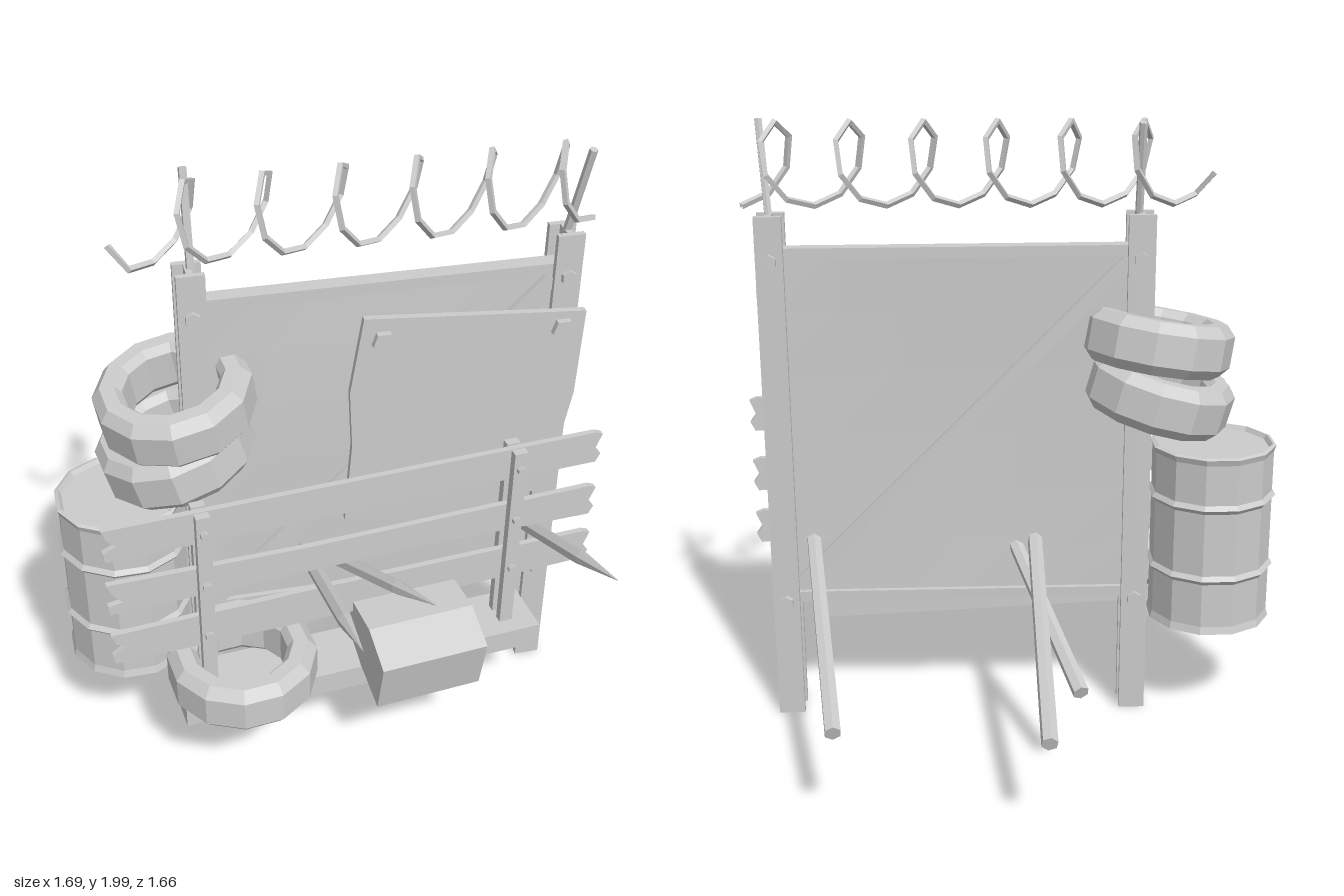
import * as THREE from 'three';

const mat = new THREE.MeshStandardMaterial({ color: 0xcccccc, flatShading: true, side: THREE.DoubleSide });

function add(parent, name, geo, x = 0, y = 0, z = 0, rx = 0, ry = 0, rz = 0) {
  const m = new THREE.Mesh(geo, mat);
  m.name = name;
  m.position.set(x, y, z);
  m.rotation.set(rx, ry, rz);
  parent.add(m);
  return m;
}
const box = (w, h, d) => new THREE.BoxGeometry(w, h, d);

// flat outline in x/y given a thickness centred on z
function slab(points, depth) {
  const shape = new THREE.Shape(points.map(p => new THREE.Vector2(p[0], p[1])));
  return new THREE.ExtrudeGeometry(shape, { depth, bevelEnabled: false }).translate(0, 0, -depth / 2);
}

const lathe = (pts, sides) => new THREE.LatheGeometry(pts.map(p => new THREE.Vector2(p[0], p[1])), sides);

// bolt head facing along z
function bolt(parent, x, y, z, r, sides = 6) {
  add(parent, 'bolt', new THREE.CylinderGeometry(r, r, 0.025, sides), x, y, z, Math.PI / 2);
}

// bar between two points in the wall plane
function bar(parent, name, a, b, width, depth, z) {
  const dx = b[0] - a[0], dy = b[1] - a[1];
  add(parent, name, box(Math.hypot(dx, dy), width, depth),
    (a[0] + b[0]) / 2, (a[1] + b[1]) / 2, z, 0, 0, Math.atan2(dy, dx));
}

// round rod between two points
function rod(parent, name, a, b, r0, r1, sides = 6) {
  const d = b.clone().sub(a);
  const m = add(parent, name, new THREE.CylinderGeometry(r1, r0, d.length(), sides));
  m.position.copy(a).addScaledVector(d, 0.5);
  m.quaternion.setFromUnitVectors(new THREE.Vector3(0, 1, 0), d.normalize());
}

function buildWall() {
  const wall = new THREE.Group();
  wall.name = 'wall';
  wall.position.set(0.18, 0, 0.07);
  wall.rotation.y = -0.174;

  // H-section posts with bolts
  for (const s of [-1, 1]) {
    const x = 0.58 * s;
    const h = [[-0.043, -0.05], [0.043, -0.05], [0.043, -0.03], [0.01, -0.03], [0.01, 0.03], [0.043, 0.03],
      [0.043, 0.05], [-0.043, 0.05], [-0.043, 0.03], [-0.01, 0.03], [-0.01, -0.03], [-0.043, -0.03]];
    add(wall, 'post', slab(h, 1.7), x, 0.85, 0, -Math.PI / 2);
    for (const y of [0.41, 1.56]) for (const f of [-1, 1]) bolt(wall, x, y, 0.055 * f, 0.025);
  }

  // sheet panel, slightly buckled
  const panel = new THREE.BoxGeometry(1.12, 1.18, 0.02, 6, 6, 1);
  const p = panel.attributes.position;
  for (let i = 0; i < p.count; i++) {
    const u = p.getX(i) / 0.56, v = p.getY(i) / 0.59;
    p.setZ(i, p.getZ(i) + 0.012 * (1 - u * u) * (1 - v * v));
  }
  add(wall, 'panel', panel, 0, 1.0, 0);
  bar(wall, 'topRail', [-0.56, 1.585], [0.56, 1.58], 0.035, 0.055, 0);
  bar(wall, 'bottomRail', [-0.56, 0.425], [0.56, 0.42], 0.035, 0.055, 0);
  bar(wall, 'frontBrace', [-0.54, 0.46], [0.54, 1.55], 0.05, 0.02, 0.025);
  bar(wall, 'backBrace', [-0.54, 1.55], [0.54, 0.46], 0.045, 0.02, -0.025);

  // patch plate bolted over the front
  add(wall, 'patchPlate', slab([[-0.07, 1.51], [0.64, 1.45], [0.63, 1.15], [0.6, 0.98], [0.57, 0.78],
    [0.25, 0.72], [-0.12, 0.76], [-0.1, 1.05], [-0.11, 1.25]], 0.022), 0, 0, 0.07);
  for (const [x, y] of [[-0.01, 1.43], [0.565, 1.4], [-0.06, 0.9], [0.52, 0.86]]) bolt(wall, x, y, 0.09, 0.037, 5);
  return wall;
}

function buildFence() {
  const fence = new THREE.Group();
  fence.name = 'fence';
  fence.position.set(0.025, 0, 0.305);
  fence.rotation.y = -0.0735;
  add(fence, 'base', box(1.23, 0.08, 0.2), 0, 0.325, 0);

  // planks with broken ends
  [[1.0, 0.0], [0.79, 0.012], [0.595, -0.008]].forEach(([y, j], i) => {
    const h = 0.058;
    const pts = [[-0.81, -h], [0.2, -h + j], [0.8, -h], [0.815, -h + 0.03], [0.795, 0], [0.815, h - 0.01],
      [0.79, h], [-0.2, h - j], [-0.815, h], [-0.8, 0.02], [-0.77, -0.005 - j], [-0.815, -0.025]];
    const m = add(fence, 'plank', slab(pts, 0.02), 0, y, 0);
    m.rotation.z = [0, -0.004, 0.004][i];
  });

  // paired uprights clamping the planks
  for (const x of [-0.515, 0.515]) {
    for (const s of [-1, 1]) add(fence, 'upright', box(0.045, 0.7, 0.028), x, 0.71, 0.03 * s);
    for (const y of [1.0, 0.8, 0.6]) bolt(fence, x, y, 0.047, 0.014);
  }
  return fence;
}

function buildTire(x, y, z, rx, rz, r = 0.245) {
  const k = 0.085;
  const profile = [[r - 0.03, -k], [r, -k * 0.6], [r, k * 0.6], [r - 0.03, k], [r - 0.075, k],
    [r - 0.095, k * 0.7], [r - 0.095, -k * 0.7], [r - 0.075, -k], [r - 0.03, -k]];
  const m = new THREE.Mesh(lathe(profile, 12), mat);
  m.name = 'tire';
  m.position.set(x, y, z);
  m.rotation.set(rx, 0.2, rz);
  return m;
}

export function createModel() {
  const model = new THREE.Group();
  model.name = 'barricade';
  model.add(buildWall(), buildFence());

  // tires: two hung on the left post, one lying on the base
  model.add(buildTire(-0.46, 1.28, -0.01, 0.04, 0.18));
  model.add(buildTire(-0.465, 1.11, -0.02, -0.12, 0.27));
  model.add(buildTire(-0.385, 0.44, 0.31, 0, 0.01, 0.24));

  // barrel with rims and ridges
  const barrel = [[0, 0.35], [0.185, 0.35], [0.195, 0.33], [0.207, 0.335], [0.2, 0.36]];
  for (const y of [0.525, 0.77]) barrel.push([0.2, y - 0.015], [0.212, y], [0.2, y + 0.015]);
  barrel.push([0.2, 0.92], [0.207, 0.94], [0.195, 0.945], [0.185, 0.93], [0, 0.93]);
  add(model, 'barrel', lathe(barrel, 12), -0.645, 0, -0.065, 0, 0.1);

  // slumped block leaning against the fence
  const block = [[-0.3, 0.57], [-0.47, 0.575], [-0.6, 0.51], [-0.56, 0.32], [-0.41, 0.365], [-0.31, 0.42]];
  add(model, 'block', slab(block, 0.355), 0.195, 0, 0, 0, Math.PI / 2 - 0.06);

  // sharpened stakes driven through the wall
  const stakes = [
    [[-0.2, 0.865, 0.82], [0.08, 0.33, -0.83]],
    [[0.08, 0.86, 0.72], [-0.08, 0.335, -0.56]],
    [[0.64, 0.85, 0.82], [0.68, 0.335, -0.65]],
  ];
  for (const [t, e] of stakes) {
    const tip = new THREE.Vector3(...t), tail = new THREE.Vector3(...e);
    const neck = tip.clone().lerp(tail, 0.22 / tip.distanceTo(tail));
    rod(model, 'stake', tail, neck, 0.026, 0.024);
    rod(model, 'stakeTip', neck, tip, 0.024, 0.001);
  }

  // leaning rods on the posts that carry the wire
  rod(model, 'wireRod', new THREE.Vector3(-0.385, 1.65, -0.02), new THREE.Vector3(-0.37, 1.985, -0.1), 0.013, 0.013);
  rod(model, 'wireRod', new THREE.Vector3(0.75, 1.65, 0.16), new THREE.Vector3(0.765, 1.985, 0.245), 0.013, 0.013);

  // looping wire coil
  const pts = [], turns = 6, steps = 8;
  for (let i = -1; i <= turns * steps; i++) {
    const a = (i / steps) * Math.PI * 2;
    const x = -0.5 + (0.222 * i) / steps;
    pts.push(new THREE.Vector3(x + 0.1 * Math.sin(a), 1.855 - 0.128 * Math.cos(a),
      -0.03 + 0.175 * (x + 0.39) - 0.08 * Math.sin(a)));
  }
  pts.unshift(new THREE.Vector3(-0.62, 1.815, -0.04));
  const wire = new THREE.CatmullRomCurve3(pts);
  add(model, 'wireCoil', new THREE.TubeGeometry(wire, 50, 0.011, 4), 0, 0, 0);

  return model;
}
